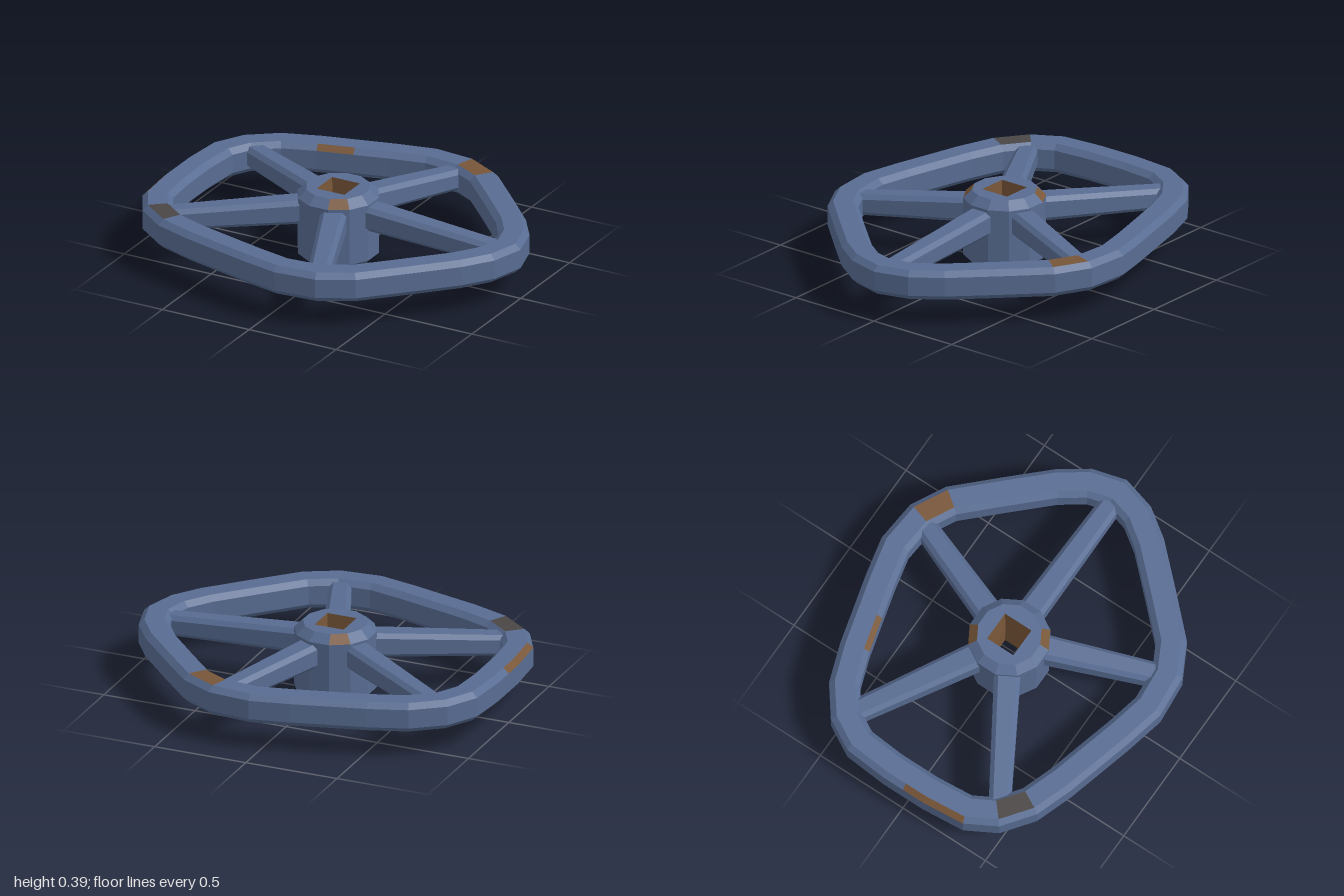
import * as THREE from 'three';

const mat = (name, color) => Object.assign(new THREE.MeshStandardMaterial({ color }), { name });

// Skin consecutive rings of points with flat quads; pick(i, j) gives a material index
function loft(rings, closed, pick = () => 0) {
  const byMaterial = [[], [], []];
  const count = rings[0].length;
  const spans = closed ? rings.length : rings.length - 1;
  for (let i = 0; i < spans; i++) {
    const r0 = rings[i], r1 = rings[(i + 1) % rings.length];
    for (let j = 0; j < count; j++) {
      const k = (j + 1) % count;
      for (const p of [r0[j], r1[j], r1[k], r0[j], r1[k], r0[k]]) byMaterial[pick(i, j)].push(...p);
    }
  }
  const geometry = new THREE.BufferGeometry();
  geometry.setAttribute('position', new THREE.Float32BufferAttribute(byMaterial.flat(), 3));
  let start = 0;
  byMaterial.forEach((list, m) => {
    if (list.length) geometry.addGroup(start, list.length / 3, m);
    start += list.length / 3;
  });
  geometry.computeVertexNormals();
  return geometry;
}

// Bevelled rectangular section as [u, v]; side 0 is the top, side 1 the outer top bevel
const section = (w, h, b) => [
  [-w + b, h], [w - b, h], [w, h - b], [w, -h + b],
  [w - b, -h], [-w + b, -h], [-w, -h + b], [-w, h - b],
];

export function createModel() {
  const group = new THREE.Group();
  const materials = [mat('blue steel', 0x586c92), mat('rust', 0x785638), mat('dark worn metal', 0x4a4646)];
  const add = (name, geometry) => {
    const mesh = new THREE.Mesh(geometry, materials);
    mesh.name = name;
    group.add(mesh);
  };
  const hubX = -0.05;

  // Rim: five-lobed outline, mirrored front to back
  const half = [
    [1, 0], [0.95, 0.18], [0.845, 0.33], [0.655, 0.53], [0.46, 0.73], [0.28, 0.825], [0.055, 0.845],
    [-0.15, 0.8], [-0.34, 0.75], [-0.53, 0.7], [-0.73, 0.63], [-0.89, 0.51], [-0.98, 0.35], [-1, 0.12], [-1, 0],
  ];
  const outline = [...half, ...half.slice(1, -1).reverse().map(([x, z]) => [x, -z])]
    .map(([x, z]) => new THREE.Vector2(x, z));
  const n = outline.length;
  const rimHalfWidth = 0.077;
  const rimSection = section(rimHalfWidth, 0.078, 0.028);
  const rimRings = outline.map((p, i) => {
    const before = p.clone().sub(outline[(i + n - 1) % n]).normalize();
    const after = outline[(i + 1) % n].clone().sub(p).normalize();
    const along = before.clone().add(after).normalize();
    const miter = 1 / along.dot(after);
    return rimSection.map(([u, v]) => {
      const d = (u - rimHalfWidth) * miter;
      return [p.x + along.y * d, 0.217 + v, p.y - along.x * d];
    });
  });
  // Worn patches, keyed by segment and side
  const rimPatches = { '23,0': 1, '12,1': 1, '13,1': 1, '19,7': 1, '10,0': 2 };
  add('rim', loft(rimRings, true, (i, j) => rimPatches[`${i},${j}`] ?? 0));

  // Hub: bevelled twelve-sided drum with a square, slightly waisted bore
  const hubAngles = Array.from({ length: 12 }, (_, k) => (k + 0.5) * Math.PI / 6);
  const hubRing = (size, y, square) => hubAngles.map((a) => {
    const c = Math.cos(a), s = Math.sin(a);
    const r = square ? size / Math.max(Math.abs(c), Math.abs(s)) : size;
    return [hubX + r * c, y, r * s];
  });
  const hubRings = [
    hubRing(0.08, 0, true), hubRing(0.165, 0), hubRing(0.21, 0.042), hubRing(0.21, 0.345),
    hubRing(0.165, 0.387), hubRing(0.08, 0.387, true), hubRing(0.07, 0.2, true),
  ];
  add('hub', loft(hubRings, true, (i, j) => {
    if (i >= 5) return 1;
    return i === 3 && (j === 1 || j === 7) ? 1 : 0;
  }));

  // Spokes: bevelled bars sloping down from hub to rim, [angle in degrees, reach]
  const spokes = [[0, 0.93], [68, 0.8], [149, 0.9], [-149, 0.9], [-68, 0.8]];
  for (const [degrees, reach] of spokes) {
    const a = degrees * Math.PI / 180, c = Math.cos(a), s = Math.sin(a);
    const ring = (r, w, h, y) => section(w, h, 0.022)
      .map(([u, v]) => [hubX + c * r + s * u, y + v, s * r - c * u]);
    add('spoke', loft([ring(0.17, 0.067, 0.065, 0.268), ring(reach, 0.055, 0.055, 0.222)], false));
  }
  return group;
}
